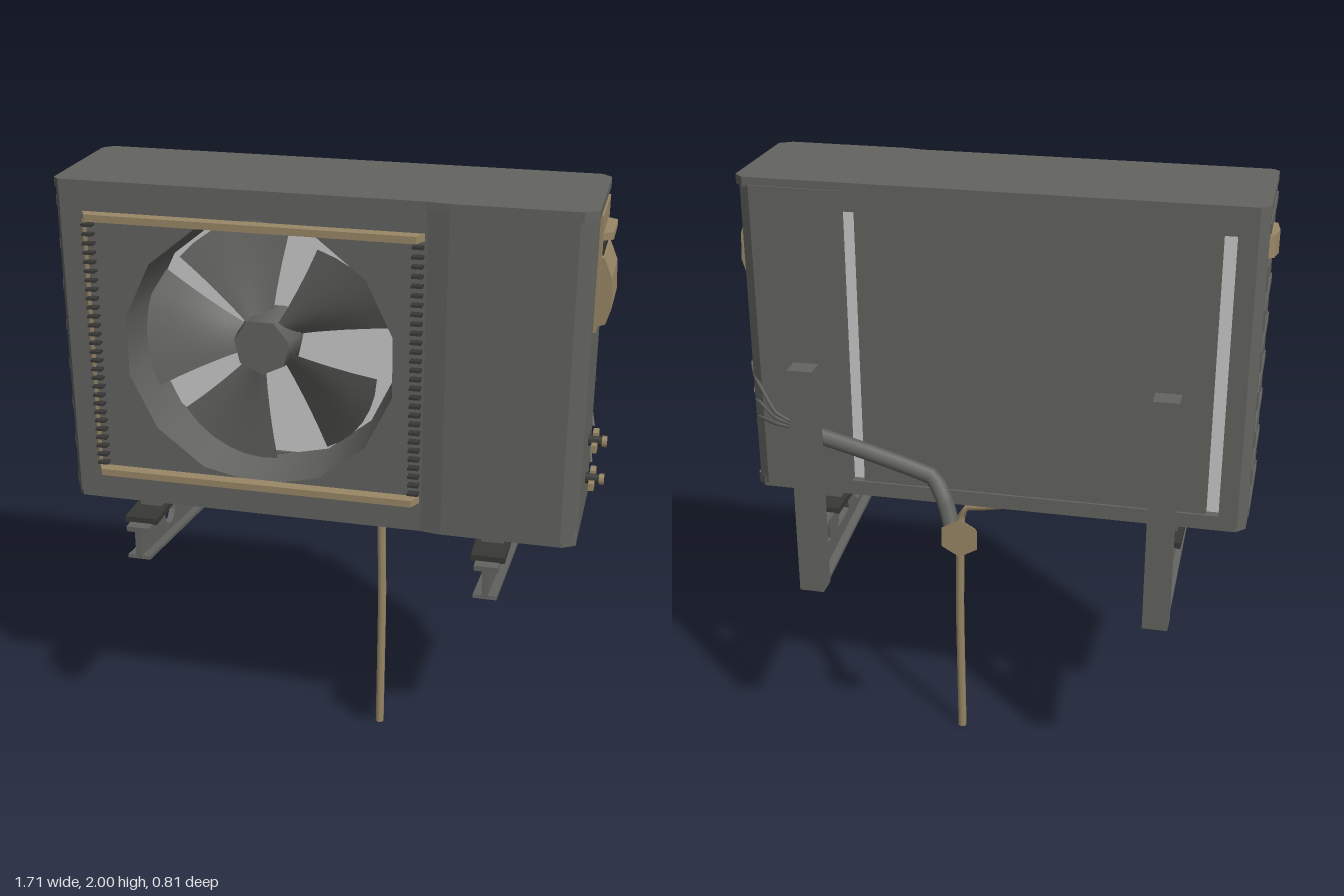
import * as THREE from 'three';

const mat = (name, color, side = THREE.FrontSide) => {
  const m = new THREE.MeshStandardMaterial({ color, side });
  m.name = name;
  return m;
};

export function createModel() {
  const grey = mat('casing grey', 0x636360);
  const greySheet = mat('sheet grey', 0x636360, THREE.DoubleSide);
  const light = mat('coil silver', 0xcacaca);
  const beige = mat('beige plastic', 0x9a8867);
  const dark = mat('dark grey', 0x383836);
  const model = new THREE.Group();

  const add = (name, geo, material, parent = model) => {
    const m = new THREE.Mesh(geo, material);
    m.name = name;
    parent.add(m);
    return m;
  };
  // box given by its limits on each axis
  const box = (name, material, x0, x1, y0, y1, z0, z1, parent = model) =>
    add(name, new THREE.BoxGeometry(x1 - x0, y1 - y0, z1 - z0)
      .translate((x0 + x1) / 2, (y0 + y1) / 2, (z0 + z1) / 2), material, parent);
  const shapeOf = pts => new THREE.Shape(pts.map(p => new THREE.Vector2(...p)));
  // plan outline of [x, z] points raised from y0 to y1
  const plan = (name, material, pts, y0, y1) =>
    add(name, new THREE.ExtrudeGeometry(shapeOf(pts.map(([x, z]) => [x, -z])),
      { depth: y1 - y0, bevelEnabled: false }).rotateX(-Math.PI / 2).translate(0, y0, 0), material);
  const tube = (name, material, pts, r, sides = 6, parent = model) =>
    add(name, new THREE.TubeGeometry(new THREE.CatmullRomCurve3(
      pts.map(p => new THREE.Vector3(...p)), false, 'catmullrom', 0.2), 20, r, sides), material, parent);

  // casing: lid, base and right compartment
  const outline = [[-0.83, 0.27], [-0.81, 0.29], [0.31, 0.29], [0.38, 0.3], [0.76, 0.3], [0.8, 0.275],
    [0.8, -0.12], [0.77, -0.15], [-0.8, -0.15], [-0.83, -0.12]];
  plan('lid', grey, outline, 1.97, 2);
  plan('base', grey, outline.map(([x, z]) => [x * 0.995, z * 0.98]), 0.95, 0.985);
  plan('rightCompartment', grey, [[0.31, 0.285], [0.38, 0.3], [0.75, 0.3], [0.785, 0.285], [0.797, 0.25],
    [0.797, -0.08], [0.785, -0.13], [0.75, -0.155], [0.46, -0.155], [0.46, 0.22], [0.31, 0.25]], 0.965, 1.975);
  plan('rearCornerPost', grey, [[-0.74, -0.15], [-0.8, -0.15], [-0.828, -0.12], [-0.828, -0.08], [-0.74, -0.1]], 0.97, 1.98);
  plan('frontCornerPost', grey, [[-0.81, 0.287], [-0.828, 0.265], [-0.828, 0.24], [-0.8, 0.24], [-0.78, 0.28]], 0.97, 1.98);
  box('rearTopRail', grey, -0.75, 0.47, 1.91, 1.975, -0.148, -0.09);
  box('rearBottomRail', grey, -0.75, 0.47, 0.97, 1.0, -0.148, -0.09);

  // front panel with the round fan opening
  const cx = -0.2, cy = 1.485, sides = 14;
  const front = shapeOf([[-0.81, 0.97], [0.315, 0.97], [0.315, 1.975], [-0.81, 1.975]]);
  const ring = [];
  for (let i = 0; i < sides; i++) {
    const a = i / sides * Math.PI * 2;
    ring.push(new THREE.Vector2(cx + Math.sin(a) * 0.43, cy + Math.cos(a) * 0.43));
  }
  front.holes.push(new THREE.Path(ring));
  add('frontPanel', new THREE.ExtrudeGeometry(front, { depth: 0.01, bevelEnabled: false }).translate(0, 0, 0.279), grey);
  add('fanDuct', new THREE.CylinderGeometry(0.43, 0.405, 0.18, sides, 1, true)
    .rotateX(Math.PI / 2).rotateZ(Math.PI).translate(cx, cy, 0.199), greySheet);

  // fan with five twisted blades
  const fan = new THREE.Group();
  fan.name = 'fan';
  fan.position.set(cx, cy + 0.015, 0.18);
  model.add(fan);
  add('hub', new THREE.CylinderGeometry(0.09, 0.105, 0.13, 7).rotateX(Math.PI / 2), grey, fan);
  for (let i = 0; i < 5; i++) {
    const geo = new THREE.PlaneGeometry(1, 1, 6, 4), p = geo.attributes.position;
    for (let j = 0; j < p.count; j++) {
      const u = p.getX(j) * 2, v = p.getY(j) + 0.5;
      const r = 0.07 + v * (0.32 - 0.02 * u);
      const a = (34 + 72 * i) * Math.PI / 180 + u * (0.4 + 0.07 * v);
      p.setXYZ(j, Math.cos(a) * r, Math.sin(a) * r, u * (0.035 + 0.03 * v) + 0.015 * (1 - u * u));
    }
    geo.computeVertexNormals();
    add('fanBlade', geo, greySheet, fan);
  }

  // front guard: two rails, a side strip and rows of wire ends
  for (const y of [1.06, 1.895])
    plan('guardRail', beige, [[-0.74, 0.288], [-0.72, 0.327], [0.29, 0.327], [0.31, 0.288]], y - 0.011, y + 0.011);
  box('guardSideStrip', beige, -0.738, -0.728, 1.07, 1.885, 0.288, 0.296);
  for (let i = 0; i < 28; i++) {
    const y = 1.085 + i * 0.029;
    for (const x of [-0.72, 0.292]) box('guardWireEnd', dark, x - 0.017, x + 0.017, y - 0.004, y + 0.004, 0.288, 0.314);
  }

  // heat exchanger, rear cover and side grille
  box('rearCoil', light, -0.75, 0.46, 0.985, 1.92, -0.12, -0.1);
  box('sideCoil', light, -0.805, -0.79, 0.985, 1.97, -0.1, 0.25);
  box('rearCover', grey, -0.7, 0.42, 0.995, 1.915, -0.14, -0.122);
  for (const z of [-0.075, 0.08, 0.24]) box('grillePost', grey, -0.828, -0.808, 0.98, 1.975, z - 0.014, z + 0.014);
  for (let i = 0; i < 8; i++) {
    const y = 1.0 + i * 0.132;
    box('grilleSlat', grey, -0.832, -0.808, y - 0.016, y + 0.016, -0.1, 0.26);
  }
  plan('sideGrip', beige, [[-0.82, 0.07], [-0.845, 0.05], [-0.855, -0.02], [-0.845, -0.07], [-0.82, -0.09]], 1.83, 1.9);

  // service cover with recessed grip, on the left side
  box('coverPlate', beige, 0.79, 0.806, 1.62, 1.97, -0.035, 0.21);
  const bulge = shapeOf([[0.8, 1.63], [0.83, 1.64], [0.845, 1.69], [0.84, 1.78], [0.815, 1.84], [0.8, 1.84]]);
  add('coverBulge', new THREE.ExtrudeGeometry(bulge, { depth: 0.2, bevelEnabled: false }).translate(0, 0, -0.012), beige);
  box('gripSlot', dark, 0.8, 0.81, 1.84, 1.885, 0.01, 0.165);
  plan('gripLip', beige, [[0.8, 0.18], [0.835, 0.16], [0.835, 0.02], [0.8, 0]], 1.888, 1.91);

  // service valves
  for (const [y, z] of [[1.21, 0.05], [1.085, 0.06]]) {
    const valve = new THREE.Group();
    valve.name = 'valve';
    valve.position.set(0.797, y, z);
    model.add(valve);
    add('valveStem', new THREE.CylinderGeometry(0.014, 0.018, 0.055, 6).rotateZ(-Math.PI / 2).translate(0.025, 0, 0), dark, valve);
    add('valveCap', new THREE.CylinderGeometry(0.018, 0.018, 0.015, 6).rotateZ(-Math.PI / 2).translate(0.05, 0, 0), beige, valve);
    for (const s of [-1, 1]) box('valveWing', beige, 0.012, 0.03, s * 0.012 - 0.012, s * 0.012 + 0.012, -s * 0.024 - 0.02, -s * 0.024 + 0.02, valve);
  }

  // wall brackets with pierced tapering arms
  for (const x of [-0.58, 0.54]) {
    const b = new THREE.Group();
    b.name = 'bracket';
    b.position.x = x;
    model.add(b);
    box('wallPost', grey, -0.04, 0.04, 0.7, 1.47, -0.375, -0.305, b);
    const web = shapeOf([[-0.4, 0.805], [0.31, 0.71], [0.31, 0.905], [-0.4, 0.905]]);
    const round = new THREE.Path();
    round.absarc(-0.125, 0.845, 0.048, 0, Math.PI * 2, true);
    web.holes.push(round);
    for (const h of [[[-0.015, 0.81], [0.015, 0.875], [0.08, 0.88], [0.11, 0.8]], [[0.19, 0.8], [0.205, 0.885], [0.285, 0.79]]])
      web.holes.push(new THREE.Path(h.map(p => new THREE.Vector2(...p))));
    add('armWeb', new THREE.ExtrudeGeometry(web, { depth: 0.02, bevelEnabled: false, curveSegments: 8 })
      .rotateY(Math.PI / 2).translate(-0.01, 0, 0), grey, b);
    box('armFlange', grey, -0.037, 0.037, 0.895, 0.912, -0.31, 0.4, b);
    const lip = box('armLip', grey, -0.037, 0.037, -0.006, 0.006, -0.357, 0.357, b);
    lip.position.set(0, 0.759, 0.045);
    lip.rotation.x = -Math.atan(0.095 / 0.71);
    for (const [z0, z1] of [[-0.22, -0.08], [0.2, 0.365]]) box('footPad', dark, -0.053, 0.053, 0.91, 0.93, z0, z1, b);
    for (const z of [-0.1, 0.23]) box('footBlock', grey, -0.035, 0.035, 0.925, 0.955, z - 0.04, z + 0.04, b);
  }

  // drain hose under the base
  add('drainSpout', new THREE.CylinderGeometry(0.045, 0.02, 0.04, 6).translate(0.04, 0.935, -0.04), grey);
  tube('drainHose', beige, [[-0.06, 0.93, -0.04], [0, 0.905, -0.045], [0.1, 0.895, -0.05], [0.118, 0.85, -0.05],
    [0.126, 0.5, -0.045], [0.124, 0.005, -0.037]], 0.015);

  // refrigerant line to the wall socket, with thin ends to the valves
  tube('pipe', grey, [[0.58, 1.22, -0.26], [0.38, 1.16, -0.245], [0.17, 1.08, -0.22], [0.11, 1.02, -0.28], [0.06, 0.975, -0.385]], 0.027);
  [[1.37, -0.09], [1.21, 0.05], [1.085, 0.06]].forEach(([y, z], i) =>
    tube('thinPipe', grey, [[0.57, 1.22, -0.255], [0.68, 1.24 + 0.02 * (1 - i), -0.23], [0.78, (y + 1.3) / 2, -0.13],
      [0.802, y, Math.min(z, -0.06)]], 0.006, 5));
  add('wallSocket', new THREE.CylinderGeometry(0.065, 0.05, 0.03, 6).rotateX(-Math.PI / 2).translate(0.035, 0.97, -0.395), beige);

  return model;
}
